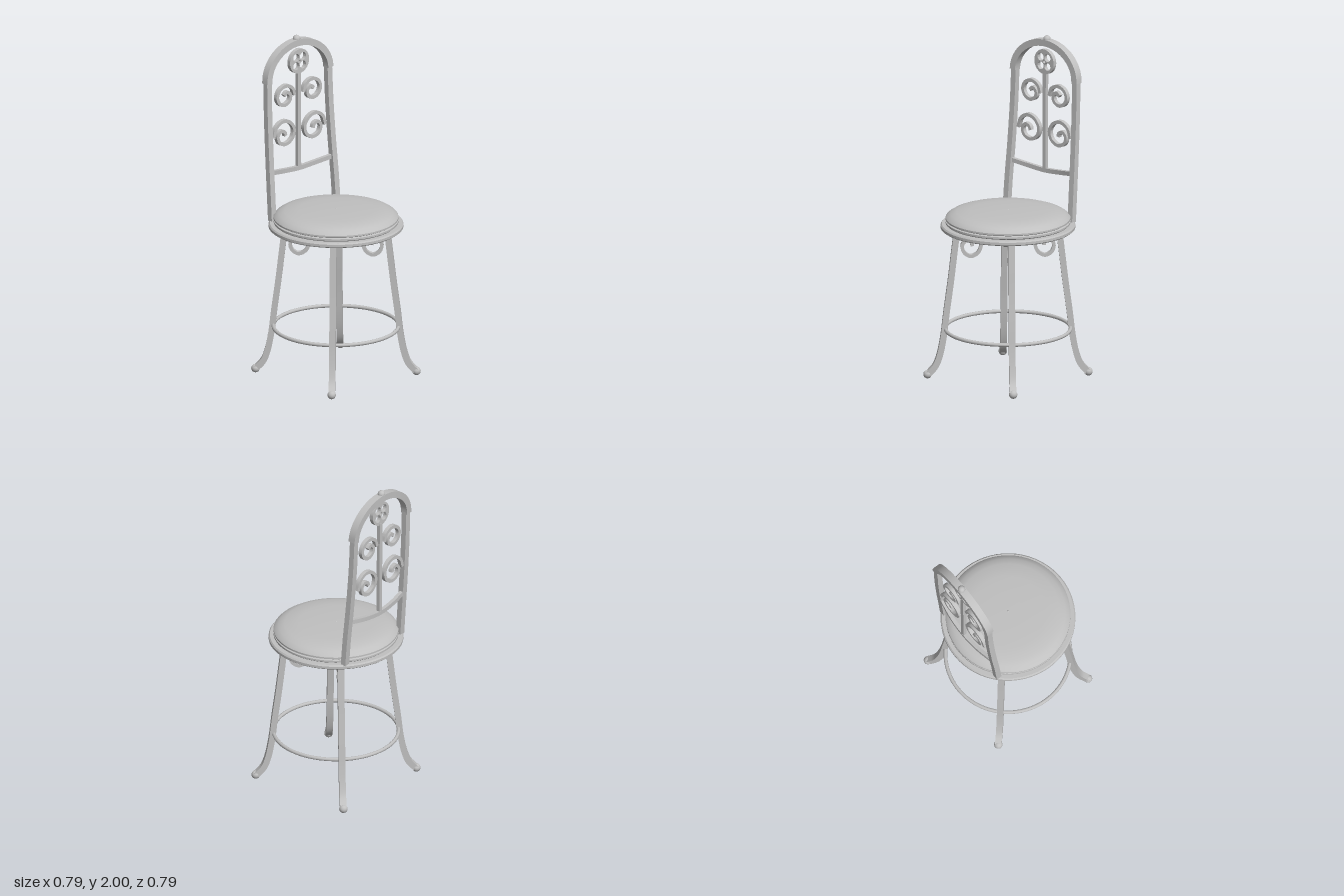
import * as THREE from 'three';
import { toCreasedNormals } from 'three/addons/utils/BufferGeometryUtils.js';

const V = (x, y, z) => new THREE.Vector3(x, y, z);

// Rectangular bar swept along a curve; `axis` is the direction of its depth.
function barGeometry(points, width, depth, axis, steps = 40) {
  const curve = new THREE.CatmullRomCurve3(points);
  const pos = [], index = [];
  for (let i = 0; i <= steps; i++) {
    const p = curve.getPointAt(i / steps), t = curve.getTangentAt(i / steps);
    const side = t.clone().cross(axis).normalize();
    const deep = side.clone().cross(t).normalize();
    for (const [a, b] of [[1, 1], [1, -1], [-1, -1], [-1, 1]]) {
      const c = p.clone().addScaledVector(side, a * width / 2).addScaledVector(deep, b * depth / 2);
      pos.push(c.x, c.y, c.z);
    }
  }
  for (let i = 0; i < steps; i++) {
    for (let k = 0; k < 4; k++) {
      const a = i * 4 + k, b = i * 4 + (k + 1) % 4;
      index.push(a, b, b + 4, a, b + 4, a + 4);
    }
  }
  const e = steps * 4;
  index.push(0, 2, 1, 0, 3, 2, e, e + 1, e + 2, e, e + 2, e + 3);
  const g = new THREE.BufferGeometry();
  g.setAttribute('position', new THREE.Float32BufferAttribute(pos, 3));
  g.setIndex(index);
  return toCreasedNormals(g, 0.6);
}

function lathe(profile, segments = 64) {
  const g = new THREE.LatheGeometry(profile.map(([x, y]) => new THREE.Vector2(x, y)), segments);
  return toCreasedNormals(g, 0.5);
}

export function createModel() {
  const model = new THREE.Group();
  model.name = 'chair';
  const iron = new THREE.MeshStandardMaterial({ color: 0xc0c0c0 });
  iron.name = 'light grey';
  const add = (name, geometry, parent = model) => {
    const mesh = new THREE.Mesh(geometry, iron);
    mesh.name = name;
    parent.add(mesh);
    return mesh;
  };
  const zAxis = V(0, 0, 1), xAxis = V(1, 0, 0);

  // Seat plate and padded cushion
  add('seatPlate', lathe([[0, 0.902], [0.385, 0.902], [0.394, 0.909], [0.394, 0.924], [0.387, 0.932], [0, 0.932]]));
  add('cushion', lathe([
    [0, 0.93], [0.355, 0.93], [0.365, 0.938], [0.365, 0.949], [0.354, 0.953],
    [0.365, 0.959], [0.365, 0.969], [0.356, 0.979], [0.335, 0.992], [0.3, 1.004], [0.22, 1.011], [0.1, 1.014], [0, 1.015],
  ]));
  add('cushionButton', new THREE.SphereGeometry(0.01, 12, 8)).position.y = 1.008;

  // Footrest ring
  const footRing = add('footrestRing', new THREE.TorusGeometry(0.366, 0.011, 10, 72));
  footRing.rotation.x = Math.PI / 2;
  footRing.position.y = 0.296;

  // Legs, each with a ball foot and a scroll under the seat, on the diagonals
  const legPath = [[0.297, 0.91], [0.316, 0.75], [0.336, 0.58], [0.36, 0.4], [0.378, 0.25],
    [0.4, 0.14], [0.425, 0.075], [0.468, 0.027]].map(([r, y]) => V(r, y, 0));
  const legScroll = [[0.288, 0.84], [0.268, 0.872], [0.228, 0.88], [0.178, 0.858], [0.158, 0.81],
    [0.175, 0.76], [0.218, 0.738], [0.258, 0.762], [0.268, 0.805], [0.245, 0.832],
    [0.215, 0.825], [0.21, 0.8]].map(([r, y]) => V(r, y, 0));
  const legGeometry = barGeometry(legPath, 0.036, 0.038, zAxis);
  const scrollGeometry = barGeometry(legScroll, 0.02, 0.026, zAxis, 60);
  const footGeometry = new THREE.SphereGeometry(0.025, 20, 14);
  for (let i = 0; i < 4; i++) {
    const leg = new THREE.Group();
    leg.name = 'leg' + (i + 1);
    leg.rotation.y = Math.PI / 4 + i * Math.PI / 2;
    add('legBar', legGeometry, leg);
    add('legScroll', scrollGeometry, leg);
    add('ballFoot', footGeometry, leg).position.set(0.471, 0.025, 0);
    model.add(leg);
  }

  // Back: uprights and scrolls, mirrored left and right
  const upperScroll = [[0.035, 1.645], [0.052, 1.69], [0.1, 1.713], [0.15, 1.695], [0.169, 1.652],
    [0.15, 1.612], [0.11, 1.597], [0.072, 1.618], [0.068, 1.652], [0.093, 1.672], [0.115, 1.655]];
  const lowerScroll = [[0.202, 1.413], [0.182, 1.47], [0.13, 1.5], [0.075, 1.485], [0.042, 1.437],
    [0.055, 1.385], [0.105, 1.357], [0.155, 1.375], [0.168, 1.415], [0.145, 1.442], [0.115, 1.432], [0.108, 1.41]];
  for (const [side, s] of [['left', 1], ['right', -1]]) {
    const upright = [[0.252, 0.93, -0.277], [0.25, 1.1, -0.29], [0.245, 1.3, -0.308],
      [0.24, 1.55, -0.326], [0.237, 1.77, -0.335]].map(([x, y, z]) => V(s * x, y, z));
    add(side + 'Upright', barGeometry(upright, 0.034, 0.036, xAxis, 24));
    for (const [name, pts, z] of [['UpperScroll', upperScroll, -0.332], ['LowerScroll', lowerScroll, -0.328]]) {
      add(side + name, barGeometry(pts.map(([x, y]) => V(s * x, y, z)), 0.02, 0.024, zAxis, 64));
    }
  }

  // Arched top rail with ball finial
  const arch = [];
  for (let i = 0; i <= 16; i++) {
    const a = Math.PI * i / 16, rise = Math.sin(a);
    arch.push(V(0.24 * Math.cos(a), 1.755 + 0.202 * rise, -0.333 - 0.012 * rise));
  }
  add('archRail', barGeometry(arch, 0.04, 0.046, zAxis, 48));
  add('finial', new THREE.SphereGeometry(0.022, 24, 16)).position.set(0, 1.978, -0.345);

  // Sagging cross bar and centre rod
  const cross = [[-0.24, 1.213, -0.304], [-0.12, 1.196, -0.323], [0, 1.187, -0.329],
    [0.12, 1.196, -0.323], [0.24, 1.213, -0.304]].map((p) => V(...p));
  add('crossBar', barGeometry(cross, 0.026, 0.022, zAxis));
  add('centreRod', barGeometry([V(0, 1.18, -0.328), V(0, 1.48, -0.33), V(0, 1.78, -0.332)], 0.024, 0.022, zAxis, 8));

  // Pierced round medallion
  const disc = new THREE.Shape().absarc(0, 0, 0.075, 0, Math.PI * 2);
  const pierce = (x, y, r) => disc.holes.push(new THREE.Path().absarc(x, y, r, 0, Math.PI * 2, true));
  for (let i = 0; i < 4; i++) {
    const a = Math.PI / 4 + i * Math.PI / 2;
    pierce(0.037 * Math.cos(a), 0.037 * Math.sin(a), 0.0235);
  }
  pierce(0, 0, 0.008);
  const medallion = new THREE.ExtrudeGeometry(disc, { depth: 0.024, bevelEnabled: false, curveSegments: 24 });
  add('medallion', toCreasedNormals(medallion, 0.6)).position.set(0, 1.845, -0.342);

  return model;
}
